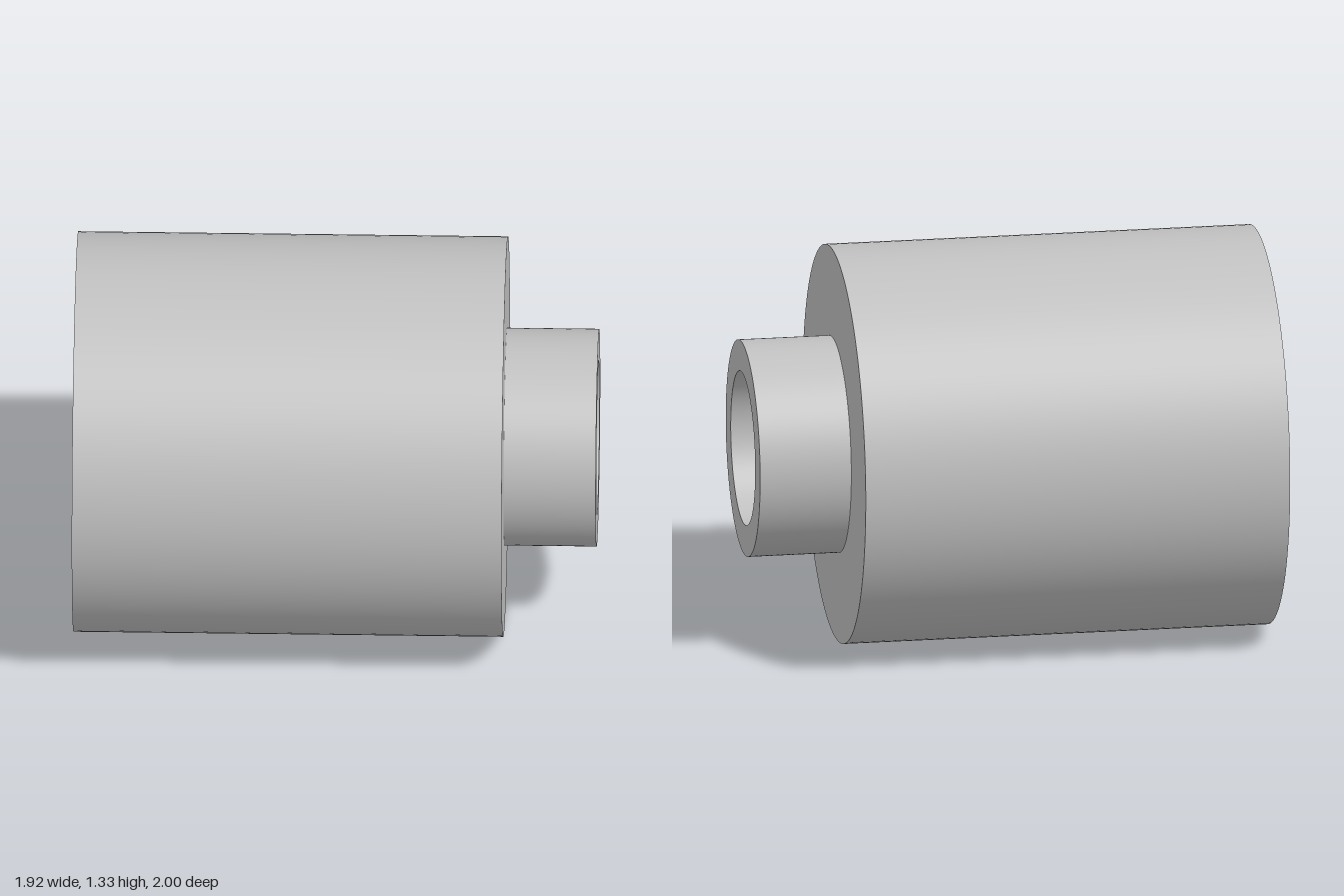
import * as THREE from 'three';

export function createModel() {
  const model = new THREE.Group();
  model.name = 'steppedBushing';
  const metal = new THREE.MeshStandardMaterial({ color: 0xc0c0c0 });
  metal.name = 'plain grey';

  const bodyR = 0.664, neckR = 0.361, boreR = 0.257;
  const bodyLength = 1.425, totalLength = 1.731;

  // Closed profile (radius, distance along axis); one lathe per segment keeps the rims sharp
  const profile = [
    ['bodyWall', bodyR, 0],
    ['shoulderFace', bodyR, bodyLength],
    ['neckWall', neckR, bodyLength],
    ['neckEndFace', neckR, totalLength],
    ['boreWall', boreR, totalLength],
    ['bodyEndFace', boreR, 0],
  ];
  profile.forEach(([name, r, y], i) => {
    const [, r2, y2] = profile[(i + 1) % profile.length];
    const points = [new THREE.Vector2(r, y), new THREE.Vector2(r2, y2)];
    const mesh = new THREE.Mesh(new THREE.LatheGeometry(points, 128), metal);
    mesh.name = name;
    model.add(mesh);
  });

  // Lay the axis level, running diagonally from the front to the back
  const axis = new THREE.Vector3(0.87, 0, -1.129).normalize();
  const shaft = new THREE.Group();
  shaft.name = 'bushing';
  shaft.add(...model.children.slice());
  shaft.quaternion.setFromUnitVectors(new THREE.Vector3(0, 1, 0), axis);
  shaft.position.set(-0.435, bodyR, 0.594);
  model.add(shaft);
  return model;
}
